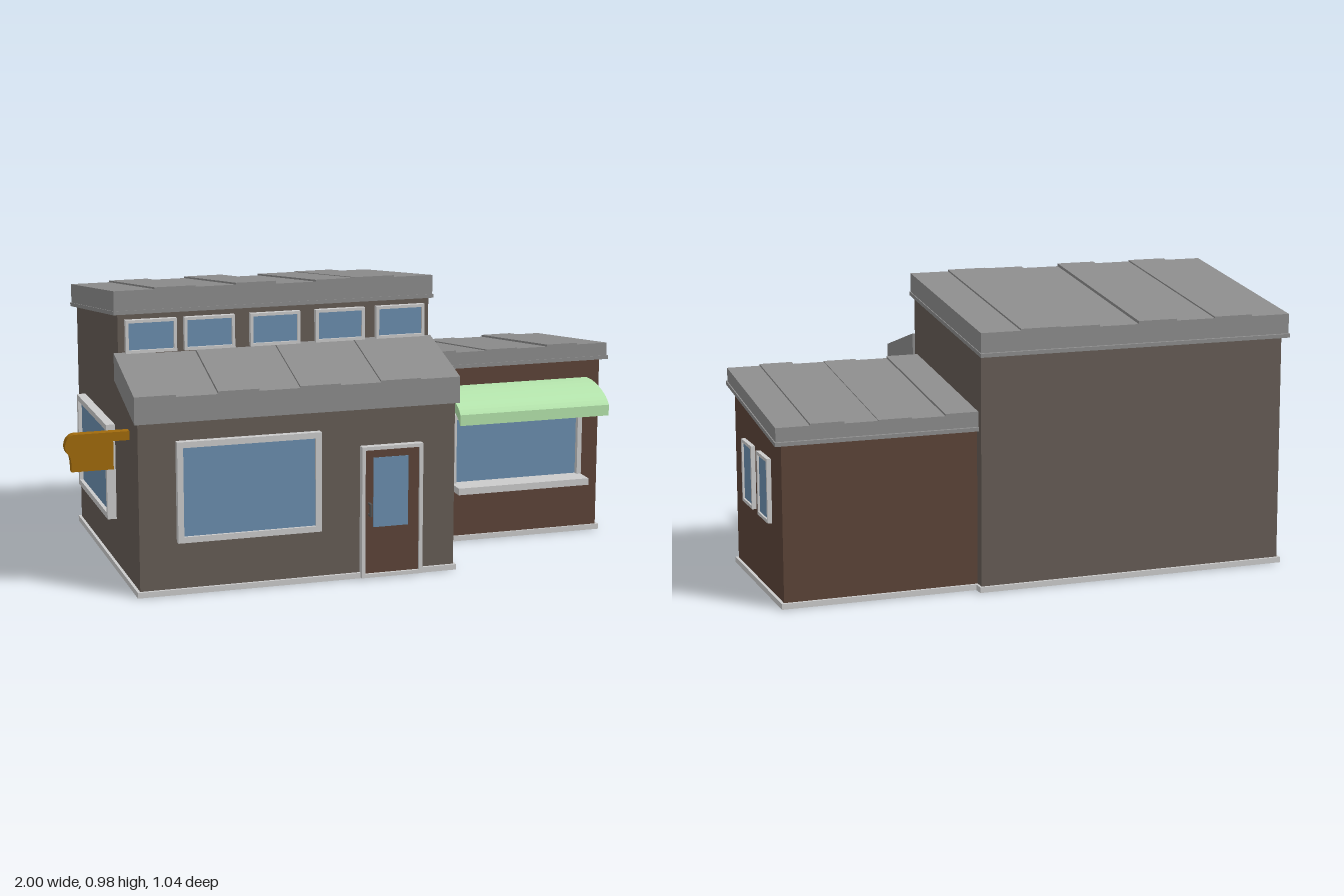
import * as THREE from 'three';

const mat = (color) => new THREE.MeshStandardMaterial({ color, side: THREE.DoubleSide });
const M = {
  trim: mat(0xcccccc), stone: mat(0x655c55), brick: mat(0x5c4438), glass: mat(0x6a8dae),
  roof: mat(0x8c8c8c), floor: mat(0x6a6a6a), awning: mat(0xb4e4ac), sign: mat(0xa06a0c), metal: mat(0x555555),
};

function add(parent, name, geo, material) {
  const m = new THREE.Mesh(geo, material);
  m.name = name;
  parent.add(m);
  return m;
}

// box given by its two extremes on each axis
function box(parent, name, material, [x0, x1], [y0, y1], [z0, z1]) {
  const m = add(parent, name, new THREE.BoxGeometry(x1 - x0, y1 - y0, z1 - z0), material);
  m.position.set((x0 + x1) / 2, (y0 + y1) / 2, (z0 + z1) / 2);
  return m;
}

// side profile of [z, y] points swept across x
function prism(parent, name, material, pts, x0, x1) {
  const shape = new THREE.Shape(pts.map(([z, y]) => new THREE.Vector2(z, y)));
  const geo = new THREE.ExtrudeGeometry(shape, { depth: x1 - x0, bevelEnabled: false });
  geo.rotateY(-Math.PI / 2);
  geo.translate(x1, 0, 0);
  return add(parent, name, geo, material);
}

// framed pane facing +z, centred on its own origin, back at z = 0
function framedPane(name, w, h, border, depth, glassDepth = depth * 0.6) {
  const g = new THREE.Group();
  g.name = name;
  const rect = (P, a, b) => {
    const p = new P();
    p.moveTo(-a, -b); p.lineTo(a, -b); p.lineTo(a, b); p.lineTo(-a, b); p.closePath();
    return p;
  };
  const s = rect(THREE.Shape, w / 2, h / 2);
  s.holes.push(rect(THREE.Path, w / 2 - border, h / 2 - border));
  add(g, 'frame', new THREE.ExtrudeGeometry(s, { depth, bevelEnabled: false }), M.trim);
  const a = w / 2 - border, b = h / 2 - border;
  box(g, 'pane', M.glass, [-a, a], [-b, b], [0, glassDepth]);
  return g;
}

// sloping roof: lip, fascia block and slightly uneven panels
function roof(parent, name, [zF, yF], [zB, yB], thick, x0, x1, panels, lifts, lipEnds) {
  const g = new THREE.Group();
  g.name = name;
  parent.add(g);
  const slope = (yB - yF) / (zB - zF);
  const at = (z) => yF + (z - zF) * slope;
  const slab = (label, a, b, lo, hi, l, r) =>
    prism(g, label, M.roof, [[a, at(a) + lo], [a, at(a) + hi], [b, at(b) + hi], [b, at(b) + lo]], l, r);
  slab('fascia', zF, zB, -thick, -0.01, x0, x1);
  if (lipEnds) slab('lip', zF + 0.007, zB - 0.007, -thick, -thick + 0.013, x0 - lipEnds[0], x1 + lipEnds[1]);
  const w = (x1 - x0) / panels;
  for (let i = 0; i < panels; i++) {
    slab('panel', zF, zB, -0.012, lifts[i % lifts.length], x0 + i * w, x0 + (i + 1) * w);
  }
}

export function createModel() {
  const root = new THREE.Group();
  root.name = 'shop';

  // base slabs
  box(root, 'mainBase', M.trim, [-0.795, 0.313], [0.001, 0.02], [-0.5, 0.49]);
  box(root, 'wingBase', M.trim, [0.313, 0.98], [0.001, 0.02], [-0.46, 0.167]);
  box(root, 'mainFloor', M.floor, [-0.785, 0.305], [0, 0.01], [-0.49, 0.48]);
  box(root, 'wingFloor', M.floor, [0.315, 0.97], [0, 0.01], [-0.45, 0.157]);

  // walls
  prism(root, 'mainWalls', M.stone, [
    [0.48, 0.01], [0.48, 0.61], [0.205, 0.69], [0.205, 0.91], [-0.49, 0.82], [-0.49, 0.01],
  ], -0.785, 0.305);
  prism(root, 'wingWalls', M.brick, [[0.16, 0.01], [0.16, 0.65], [-0.45, 0.57], [-0.45, 0.01]], 0.305, 0.97);

  // roofs
  roof(root, 'upperRoof', [0.222, 0.976], [-0.513, 0.878], 0.08, -0.8, 0.313, 8, [0, 0.006, 0.001, 0.007, -0.003, 0.003, 0.005, -0.001], [0.003, 0.003]);
  roof(root, 'frontRoof', [0.505, 0.677], [0.205, 0.763], 0.09, -0.8, 0.313, 8, [0.002, -0.005, 0.004, -0.003, 0.003, -0.002, 0.004, 0], null);
  roof(root, 'wingRoof', [0.172, 0.69], [-0.468, 0.605], 0.06, 0.307, 0.992, 6, [0.004, -0.003, 0.001, -0.002, 0.005, -0.001], [0, 0.004]);

  // windows: name, centre, size, border, depth, turn about y
  const windows = [
    ['frontWindow', [-0.415, 0.35, 0.479], [0.49, 0.34], 0.02, 0.025, 0],
    ['sideWindow', [-0.784, 0.34, -0.12], [0.5, 0.33], 0.02, 0.032, -Math.PI / 2],
    ['wingFrontWindow', [0.645, 0.335, 0.159], [0.49, 0.27], 0.016, 0.047, 0],
    ['wingSideWindow', [0.969, 0.363, -0.043], [0.136, 0.216], 0.011, 0.016, Math.PI / 2],
    ['wingSideWindow', [0.969, 0.363, -0.25], [0.136, 0.216], 0.011, 0.016, Math.PI / 2],
  ];
  for (const x of [-0.675, -0.475, -0.247, -0.018, 0.198]) {
    windows.push(['clerestoryWindow', [x, 0.82, 0.204], [0.174, 0.112], 0.01, 0.021, 0]);
  }
  for (const [name, p, [w, h], border, depth, turn] of windows) {
    const win = framedPane(name, w, h, border, depth);
    win.position.set(...p);
    win.rotation.y = turn;
    root.add(win);
  }
  box(root, 'windowSill', M.trim, [0.4, 0.89], [0.2, 0.224], [0.16, 0.275]);

  // door
  const door = new THREE.Group();
  door.name = 'door';
  root.add(door);
  box(door, 'jamb', M.trim, [-0.03, -0.018], [0.005, 0.458], [0.479, 0.506]);
  box(door, 'jamb', M.trim, [0.173, 0.185], [0.005, 0.458], [0.479, 0.506]);
  box(door, 'lintel', M.trim, [-0.018, 0.173], [0.446, 0.458], [0.479, 0.506]);
  box(door, 'threshold', M.trim, [-0.018, 0.173], [0.005, 0.018], [0.479, 0.506]);
  box(door, 'leaf', M.brick, [-0.018, 0.173], [0.018, 0.446], [0.479, 0.496]);
  box(door, 'doorGlass', M.glass, [0.012, 0.135], [0.178, 0.418], [0.48, 0.498]);
  box(door, 'handleBar', M.metal, [-0.006, 0.002], [0.22, 0.264], [0.513, 0.52]);
  for (const y of [0.22, 0.258]) box(door, 'handlePost', M.metal, [-0.006, 0.002], [y, y + 0.006], [0.495, 0.514]);

  // curved awning
  const top = new THREE.SplineCurve([[0.159, 0.566], [0.22, 0.565], [0.29, 0.55], [0.34, 0.528], [0.361, 0.508]]
    .map(([z, y]) => new THREE.Vector2(z, y))).getPoints(10);
  const under = new THREE.SplineCurve([[0.361, 0.47], [0.33, 0.495], [0.29, 0.512], [0.22, 0.522], [0.159, 0.523]]
    .map(([z, y]) => new THREE.Vector2(z, y))).getPoints(10);
  prism(root, 'awning', M.awning, [...top, ...under].map((p) => [p.x, p.y]), 0.37, 0.922);

  // hanging sign board with rounded upper corner and bracket arm
  const s = new THREE.Shape();
  s.moveTo(-0.784, 0.535);
  s.lineTo(-0.97, 0.535);
  s.quadraticCurveTo(-0.998, 0.528, -1, 0.495);
  s.quadraticCurveTo(-1, 0.475, -0.985, 0.465);
  s.quadraticCurveTo(-0.978, 0.44, -0.98, 0.41);
  s.lineTo(-0.84, 0.41);
  s.lineTo(-0.84, 0.505);
  s.lineTo(-0.784, 0.505);
  s.closePath();
  const sign = add(root, 'signBoard', new THREE.ExtrudeGeometry(s, { depth: 0.032, bevelEnabled: false }), M.sign);
  sign.position.z = 0.33;

  return root;
}
